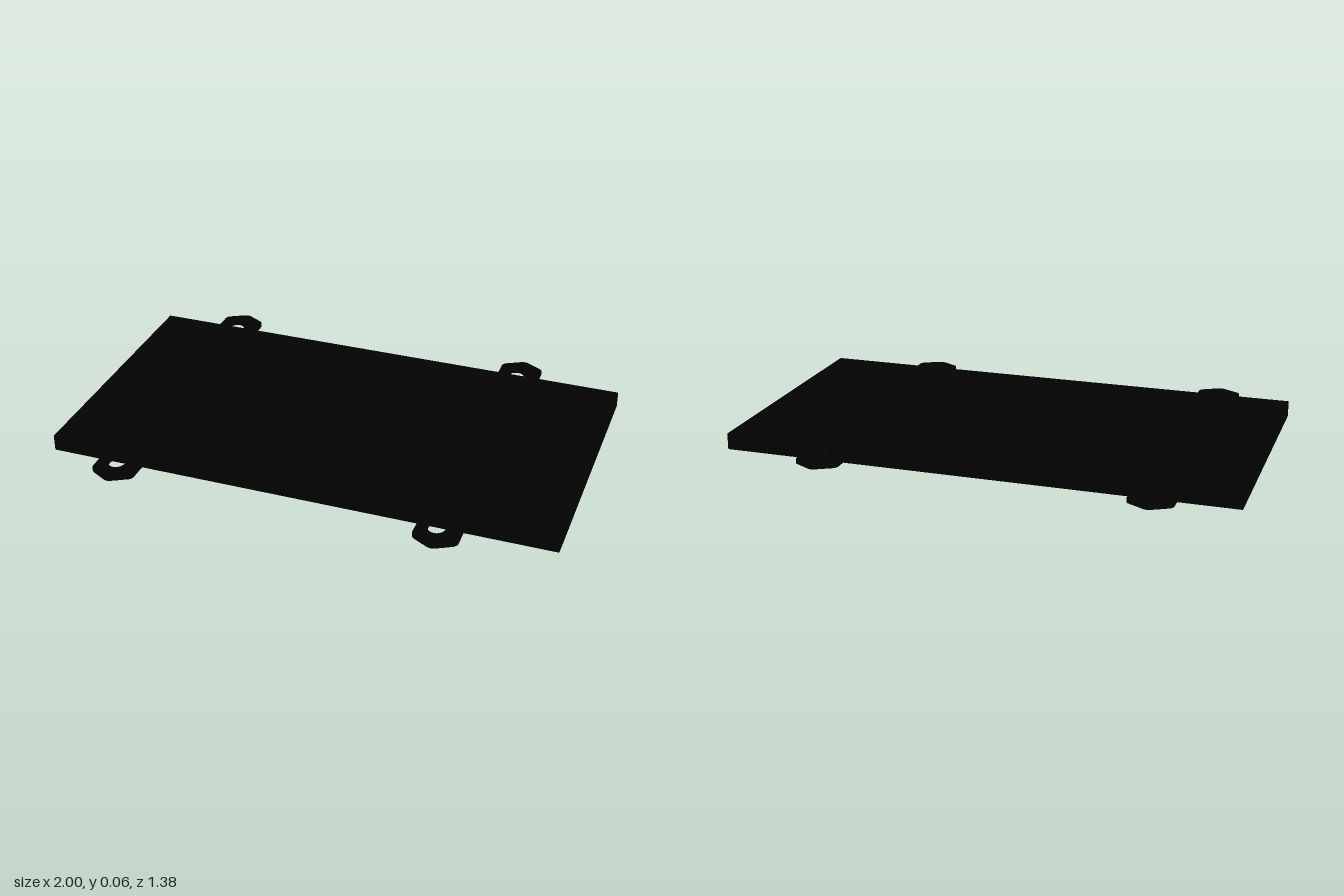
import * as THREE from 'three';

const HEIGHT = 0.064, HALF_DEPTH = 0.53, TAB = 0.015;

// Pointed mounting tab with rounded corners and an oval screw hole, pointing along +y
function tabGeometry() {
  const s = new THREE.Shape();
  s.moveTo(-0.085, 0.48);
  s.lineTo(0.085, 0.48);
  s.lineTo(0.085, 0.63);
  s.quadraticCurveTo(0.085, 0.648, 0.07, 0.656);
  s.lineTo(0.015, 0.686);
  s.quadraticCurveTo(0, 0.694, -0.015, 0.686);
  s.lineTo(-0.07, 0.656);
  s.quadraticCurveTo(-0.085, 0.648, -0.085, 0.63);
  s.closePath();
  const hole = new THREE.Path();
  hole.absellipse(-0.01, 0.578, 0.034, 0.04, 0, Math.PI * 2, true);
  s.holes.push(hole);
  return new THREE.ExtrudeGeometry(s, { depth: TAB, bevelEnabled: false, curveSegments: 12 })
    .translate(0, 0, -TAB / 2);
}

export function createModel() {
  const model = new THREE.Group();
  model.name = 'mountingPanel';
  const black = new THREE.MeshStandardMaterial({ color: 0x020202 });

  // Flat slab
  const panel = new THREE.Mesh(new THREE.BoxGeometry(2, HEIGHT, HALF_DEPTH * 2), black);
  panel.name = 'panel';
  panel.position.y = HEIGHT / 2;
  model.add(panel);

  // Two tabs on the front edge and two on the back
  const geometry = tabGeometry();
  for (const [side, turn] of [['front', 1], ['back', -1]]) {
    for (const [end, x] of [['Right', -0.693], ['Left', 0.574]]) {
      const tab = new THREE.Mesh(geometry, black);
      tab.name = side + end + 'Tab';
      tab.position.set(x, HEIGHT / 2, 0);
      tab.rotation.x = turn * Math.PI / 2;
      model.add(tab);
    }
  }
  return model;
}
